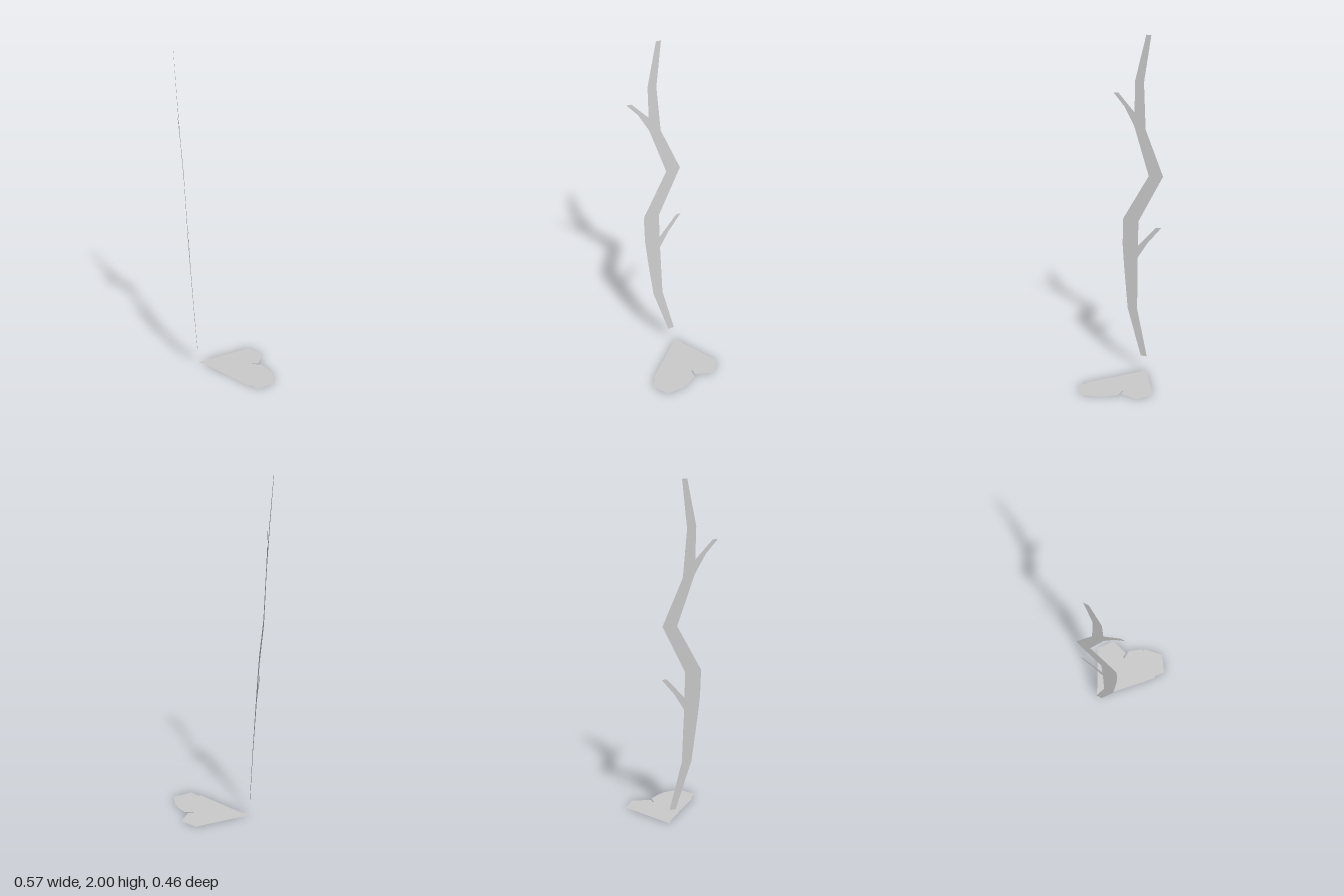
import * as THREE from 'three';

const material = new THREE.MeshStandardMaterial({ color: 0xcccccc, side: THREE.DoubleSide, flatShading: true });

// Flat cut-out from an outline given as [a, b] pairs; the first axis may be flipped
function cutout(name, points, toShape) {
  const shape = new THREE.Shape(points.map(([a, b]) => toShape(a, b)));
  const mesh = new THREE.Mesh(new THREE.ShapeGeometry(shape), material);
  mesh.name = name;
  return mesh;
}

// Crooked stem with two twigs, outline as [z, y]
const stemOutline = [
  [-0.045, 0.085], [0.045, 0.375], [0.073, 0.63], [0.085, 0.76], [0.086, 0.92], [-0.066, 1.19], [0.03, 1.475],
  [0.093, 1.585], [0.16, 1.66], [0.13, 1.66], [0.03, 1.555], // upper twig
  [0.03, 1.74], [-0.03, 2], [-0.06, 2], [-0.023, 1.73], [-0.04, 1.46], [-0.153, 1.195], [-0.01, 0.915],
  [-0.01, 0.765], [-0.12, 0.888], [-0.15, 0.888], [-0.07, 0.79], [-0.01, 0.693], // lower twig
  [-0.015, 0.375], [-0.083, 0.085],
];

// Torn leaf lying on the ground, outline as [x, z]
const leafOutline = [
  [-0.167, -0.08], [-0.143, -0.074], [-0.154, -0.072], [-0.132, -0.062],
  [0.122, 0.189], [0.136, 0.184], [0.181, 0.228], [0.284, 0.167],
  [0.272, 0.047], [0.252, 0.043], [0.265, 0.036], [0.215, -0.04],
  [0.157, -0.046], [0.161, -0.053], [0.195, -0.052], [0.231, -0.158], [0.145, -0.23],
];

export function createModel() {
  const group = new THREE.Group();
  group.name = 'twigAndLeaf';

  const stem = cutout('stem', stemOutline, (z, y) => new THREE.Vector2(-z, y));
  stem.geometry.rotateY(Math.PI / 2);
  // Lean the stem sideways as it rises
  const p = stem.geometry.attributes.position;
  for (let i = 0; i < p.count; i++) p.setX(i, -0.164 - 0.06 * p.getY(i));
  stem.geometry.computeVertexNormals();

  const leaf = cutout('leaf', leafOutline, (x, z) => new THREE.Vector2(x, -z));
  leaf.geometry.rotateX(-Math.PI / 2);

  group.add(stem, leaf);
  return group;
}
